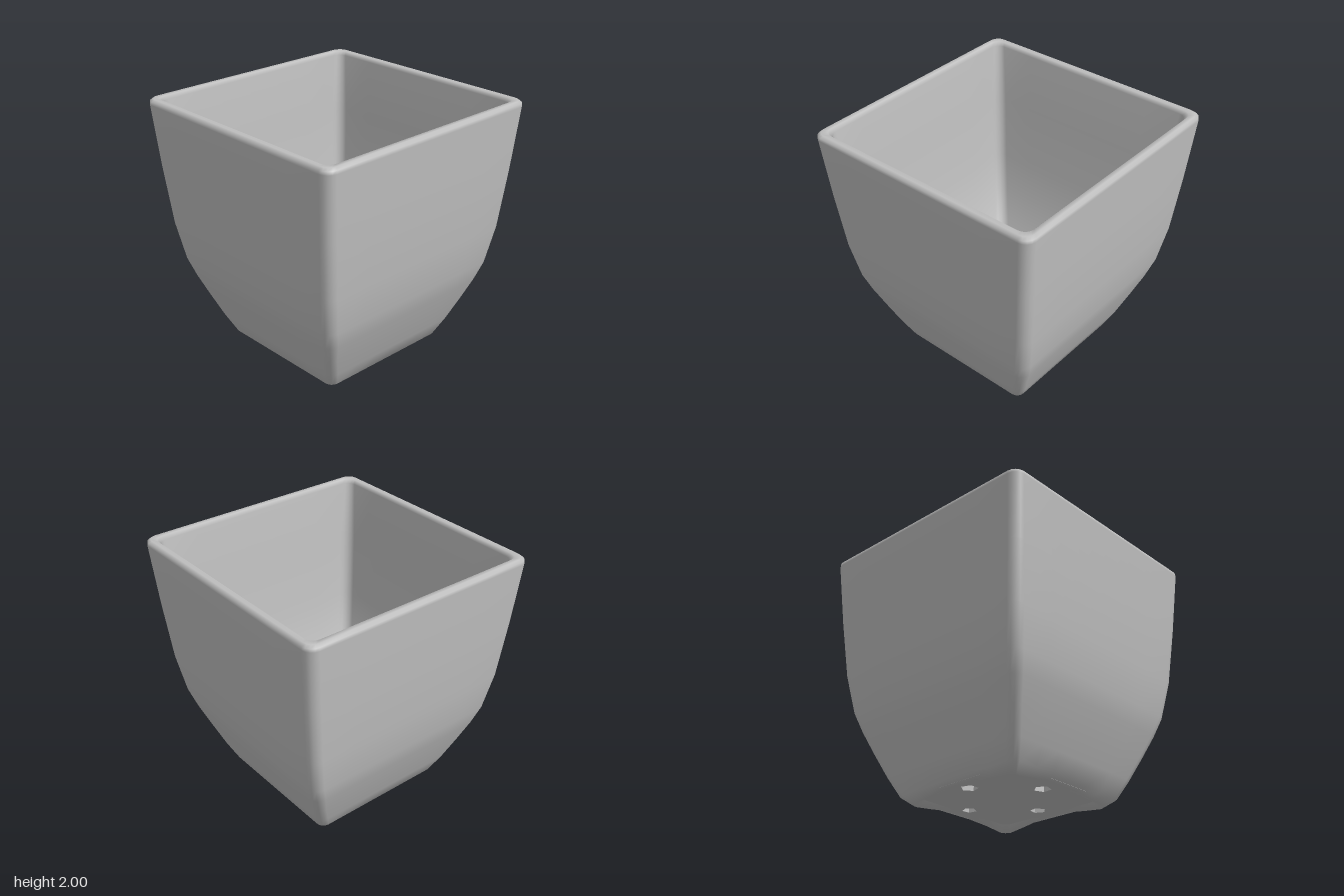
import * as THREE from 'three';

const grey = new THREE.MeshStandardMaterial({ color: 0xc0c0c0 });
grey.name = 'pot grey';

// Rounded-square loop of [x, z] points, running from +x towards +z
function squareLoop(half, radius) {
  const pts = [], arcSteps = 4, edgeSteps = 6;
  const c = half - radius;
  for (let side = 0; side < 4; side++) {
    const a = side * Math.PI / 2, cos = Math.cos(a), sin = Math.sin(a);
    const add = (x, z) => pts.push([x * cos - z * sin, x * sin + z * cos]);
    for (let i = 0; i < edgeSteps; i++) add(half, c * (2 * i / edgeSteps - 1));
    for (let i = 0; i < arcSteps; i++) {
      const t = i / arcSteps * Math.PI / 2;
      add(c + radius * Math.cos(t), c + radius * Math.sin(t));
    }
  }
  return pts;
}

// Skin of rounded squares; the rim leans very slightly, as hand formed
function buildShell(rings) {
  const position = [], index = [];
  let n = 0;
  for (const [half, y, radius, foot] of rings) {
    const loop = squareLoop(half, radius);
    n = loop.length;
    for (const [x, z] of loop) {
      const corner = Math.min(Math.abs(x), Math.abs(z)) / half;
      const drop = foot ? 0.04 * THREE.MathUtils.smoothstep(corner, 0.35, 0.8) : 0;
      position.push(x, y - drop + y / 2 * (0.012 * x - 0.006 * z), z);
    }
  }
  for (let i = 0; i < rings.length - 1; i++) {
    for (let j = 0; j < n; j++) {
      const a = i * n + j, b = i * n + (j + 1) % n, c = a + n, d = b + n;
      index.push(a, c, b, b, c, d);
    }
  }
  const g = new THREE.BufferGeometry();
  g.setAttribute('position', new THREE.Float32BufferAttribute(position, 3));
  g.setIndex(index);
  g.computeVertexNormals();
  return g;
}

export function createModel() {
  const pot = new THREE.Group();
  pot.name = 'planter';

  // Walls: [half width, height, corner radius, foot at corners]
  const shell = new THREE.Mesh(buildShell([
    [0.44, 0.05, 0.05], [0.50, 0.04, 0.06, true], [0.57, 0.06, 0.06],
    [0.64, 0.2, 0.07], [0.715, 0.38, 0.07], [0.785, 0.55, 0.08], [0.835, 0.7, 0.08],
    [0.888, 1.0, 0.08], [0.932, 1.45, 0.08], [0.972, 1.94, 0.08],
    [0.97, 1.965, 0.08], [0.95, 1.982, 0.07], [0.915, 1.98, 0.07], [0.893, 1.955, 0.07],
    [0.86, 1.5, 0.08], [0.815, 1.0, 0.08], [0.765, 0.7, 0.08],
    [0.69, 0.45, 0.08], [0.60, 0.24, 0.07], [0.52, 0.10, 0.06],
  ]), grey);
  shell.name = 'walls';
  pot.add(shell);

  // Floor with four drainage holes
  const floorShape = new THREE.Shape(squareLoop(0.53, 0.06).map(([x, z]) => new THREE.Vector2(x, z)));
  const drains = [[0.02, -0.38, 0.065], [-0.34, -0.02, 0.065], [0.38, -0.02, 0.055], [0.01, 0.33, 0.06]];
  drains.forEach(([x, z, r], k) => {
    const pts = [];
    for (let i = 0; i < 5; i++) {
      const a = -i / 5 * Math.PI * 2 + k;
      pts.push(new THREE.Vector2(x + r * Math.cos(a), z + r * Math.sin(a)));
    }
    floorShape.holes.push(new THREE.Path(pts));
  });
  const floorGeo = new THREE.ExtrudeGeometry(floorShape, { depth: 0.055, bevelEnabled: false });
  floorGeo.rotateX(Math.PI / 2).translate(0, 0.102, 0);
  const floor = new THREE.Mesh(floorGeo, grey);
  floor.name = 'floor';
  pot.add(floor);

  return pot;
}
